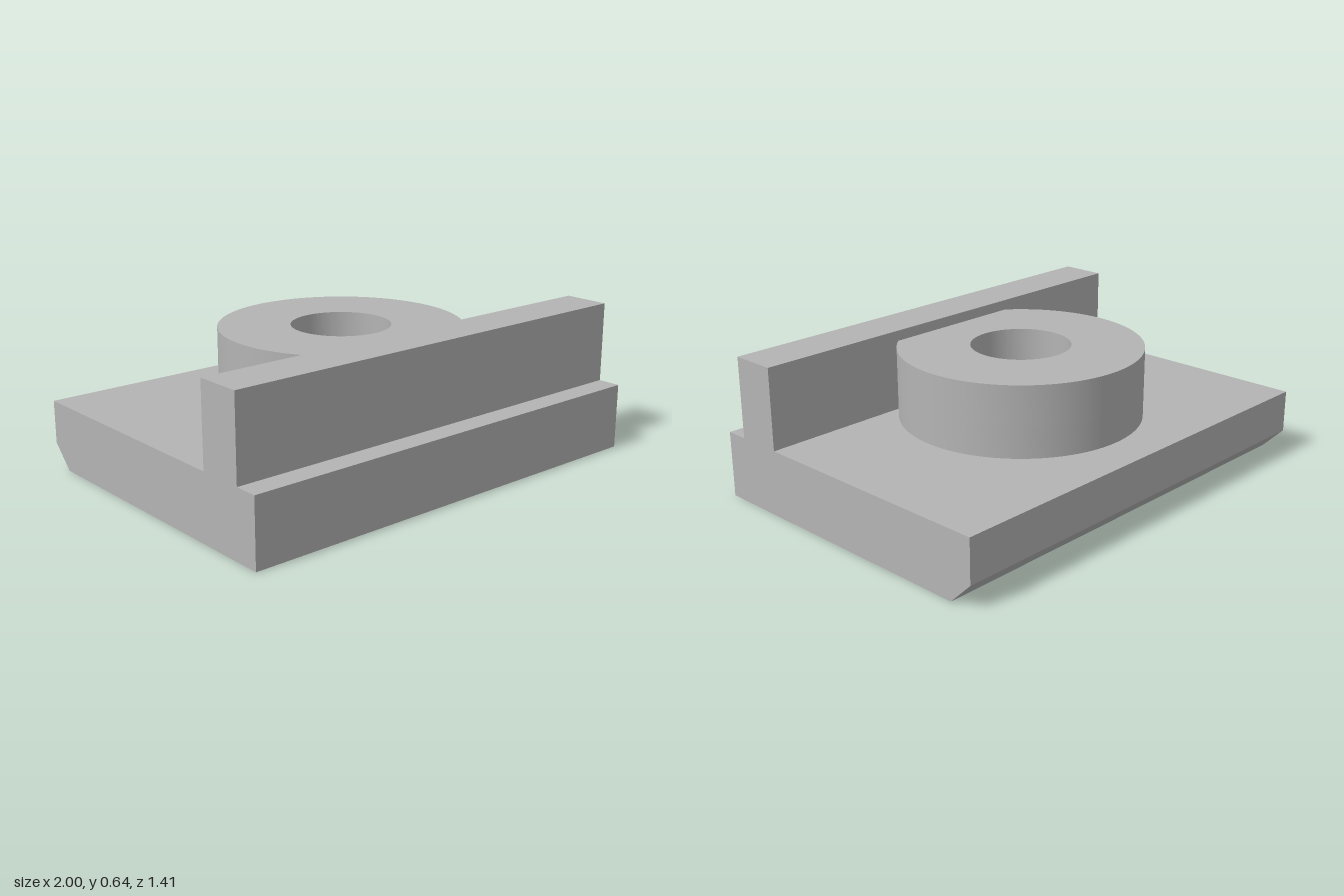
import * as THREE from 'three';
import { toCreasedNormals } from 'three/addons/utils/BufferGeometryUtils.js';

const HALF_DEPTH = 0.706, BASE_TOP = 0.287, CHAMFER = 0.1;
const RAIL_BACK = 0.403, RAIL_FRONT = 0.605, RAIL_TOP = 0.638;
const AXIS_Z = -0.006, BOSS_R = 0.524, BOSS_TOP = 0.593;
const BORE_R = 0.214, RECESS_R = 0.4, RECESS_TOP = 0.42;

// Plan shapes are drawn in (x, -z) and extruded upwards from y0 to y1.
function extrudeUp(shape, holeRadius, y0, y1, steps = 1) {
  const hole = new THREE.Path();
  hole.absarc(0, -AXIS_Z, holeRadius, 0, Math.PI * 2, true);
  shape.holes.push(hole);
  return new THREE.ExtrudeGeometry(shape, { depth: y1 - y0, steps, bevelEnabled: false, curveSegments: 64 })
    .rotateX(-Math.PI / 2)
    .translate(0, y0, 0);
}

// Base plate with the recess through it and a chamfer along the lower back edge
function baseGeometry() {
  const plan = new THREE.Shape([
    new THREE.Vector2(-1, -HALF_DEPTH), new THREE.Vector2(1, -HALF_DEPTH),
    new THREE.Vector2(1, HALF_DEPTH), new THREE.Vector2(-1, HALF_DEPTH),
  ]);
  const geo = extrudeUp(plan, RECESS_R, 0, BASE_TOP, 2);
  const p = geo.attributes.position;
  for (let i = 0; i < p.count; i++) {
    const y = p.getY(i);
    if (y < 0.01) {
      p.setY(i, 0);
      if (p.getZ(i) < -HALF_DEPTH + 0.01) p.setZ(i, -HALF_DEPTH + CHAMFER);
    } else if (y < BASE_TOP - 0.01) {
      p.setY(i, CHAMFER);
    }
  }
  return toCreasedNormals(geo, 0.5);
}

// Round boss cut flat where it meets the rail
function bossGeometry(holeRadius, y0, y1) {
  const a = Math.asin((AXIS_Z - RAIL_BACK) / BOSS_R);
  const plan = new THREE.Shape();
  plan.absarc(0, -AXIS_Z, BOSS_R, a, Math.PI - a, false);
  return toCreasedNormals(extrudeUp(plan, holeRadius, y0, y1), 0.5);
}

export function createModel() {
  const group = new THREE.Group();
  group.name = 'clampPlate';
  const grey = new THREE.MeshStandardMaterial({ color: 0xb4b4b4 });
  grey.name = 'grey';
  const add = (name, geometry) => {
    const mesh = new THREE.Mesh(geometry, grey);
    mesh.name = name;
    group.add(mesh);
    return mesh;
  };

  add('basePlate', baseGeometry());

  // Upright rail along the front
  add('rail', new THREE.BoxGeometry(2, RAIL_TOP - BASE_TOP, RAIL_FRONT - RAIL_BACK))
    .position.set(0, (RAIL_TOP + BASE_TOP) / 2, (RAIL_FRONT + RAIL_BACK) / 2);

  // Boss: wide recess below, narrow bore above
  add('bossLower', bossGeometry(RECESS_R, BASE_TOP, RECESS_TOP));
  add('bossUpper', bossGeometry(BORE_R, RECESS_TOP, BOSS_TOP));

  return group;
}
